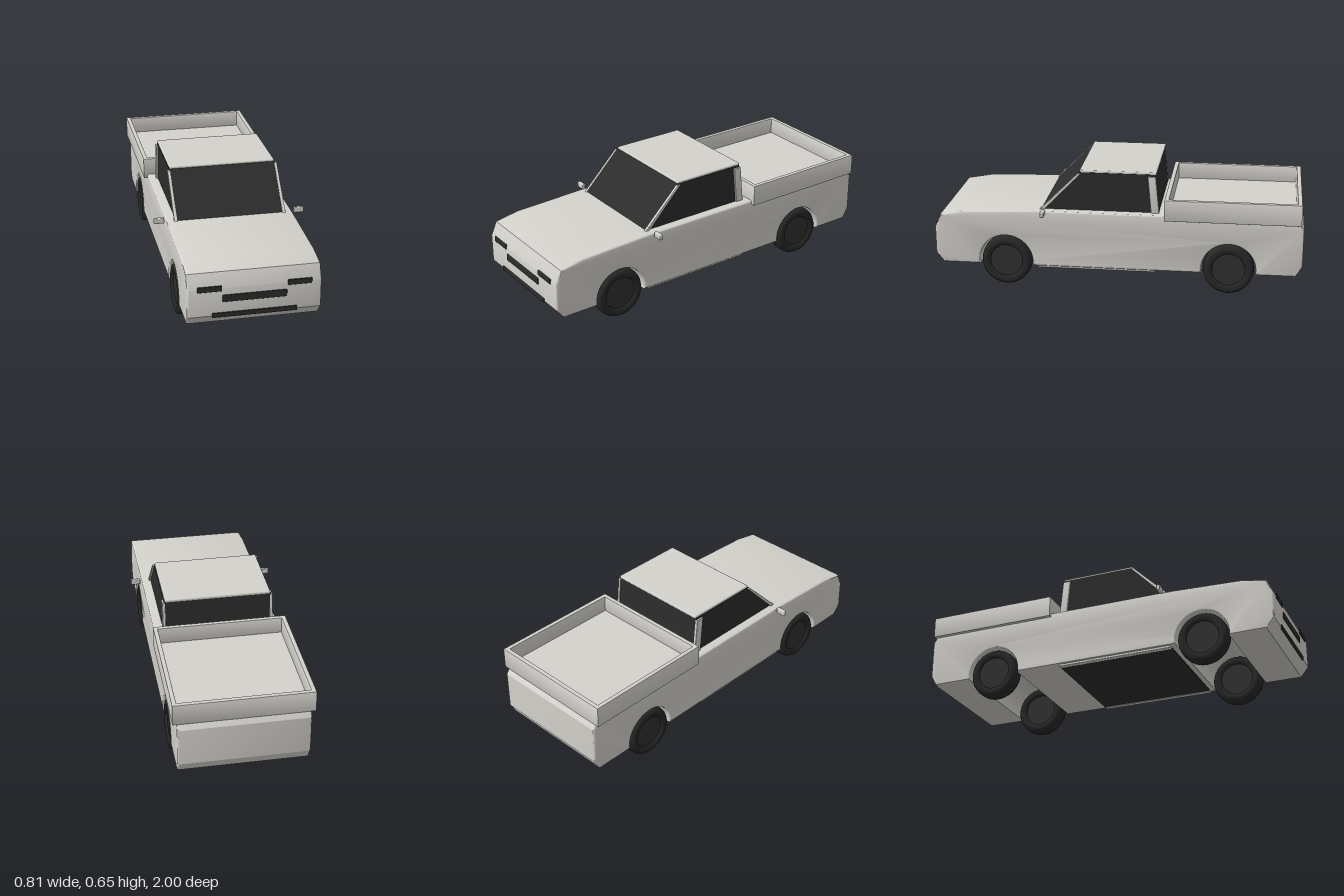
import * as THREE from 'three';
import { toCreasedNormals } from 'three/addons/utils/BufferGeometryUtils.js';
import { RoundedBoxGeometry } from 'three/addons/geometries/RoundedBoxGeometry.js';

const mat = (name, color) => {
  const m = new THREE.MeshStandardMaterial({ color });
  m.name = name;
  return m;
};

export function createModel() {
  const truck = new THREE.Group();
  truck.name = 'pickupTruck';
  const paint = mat('bodyPaint', 0xd4d2cc);
  const dark = mat('darkGlass', 0x2c2c2c);
  const rubber = mat('tyreRubber', 0x272727);
  const hubGrey = mat('hubGrey', 0x303030);

  const add = (name, geometry, material, x = 0, y = 0, z = 0, parent = truck) => {
    const mesh = new THREE.Mesh(geometry, material);
    mesh.name = name;
    mesh.position.set(x, y, z);
    parent.add(mesh);
    return mesh;
  };
  const polygon = pts => new THREE.Shape(pts.map(p => new THREE.Vector2(...p)));
  const block = (w, h, d, r = 0.005) => new RoundedBoxGeometry(w, h, d, 2, r);

  // Side profile (z, y) extruded across x, centred, with bevelled edges
  const acrossX = (shape, width, bevel) => {
    const g = new THREE.ExtrudeGeometry(shape, {
      depth: width - 2 * bevel, curveSegments: 24, bevelEnabled: bevel > 0,
      bevelThickness: bevel, bevelSize: bevel, bevelOffset: -bevel, bevelSegments: 3,
    });
    g.translate(0, 0, -(width - 2 * bevel) / 2).rotateY(-Math.PI / 2);
    return toCreasedNormals(g, 0.45);
  };

  const axleZ = 0.605, axleY = 0.139, wheelR = 0.137;

  // Lower body with wheel arches running right across
  const archR = 0.147, floorY = 0.118;
  const a = Math.asin((floorY - axleY) / archR);
  const body = new THREE.Shape();
  body.moveTo(-0.965, floorY);
  for (const z of [-axleZ, axleZ]) {
    body.lineTo(z - archR * Math.cos(a), floorY);
    body.absarc(z, axleY, archR, Math.PI - a, a, true);
  }
  [[0.952, floorY], [0.995, 0.172], [0.995, 0.32], [0.962, 0.395], [0.83, 0.419],
    [0.42, 0.434], [-0.965, 0.434], [-0.998, 0.385], [-0.998, 0.178]]
    .forEach(p => body.lineTo(...p));
  body.closePath();
  add('lowerBody', acrossX(body, 0.68, 0.012), paint);

  // Dark floor pan and sills between the axles
  add('floorPan', new THREE.BoxGeometry(0.6, 0.008, 0.64), dark, 0, 0.115, 0.11);
  for (const s of [-1, 1]) add('sill', block(0.03, 0.024, 0.64), paint, s * 0.318, 0.12, 0.11);

  // Glasshouse, roof and pillars
  add('cabGlass', acrossX(polygon([[0.42, 0.425], [0.205, 0.645], [-0.205, 0.645], [-0.225, 0.425]]),
    0.58, 0), dark);
  add('roof', block(0.574, 0.018, 0.415, 0.007), paint, 0, 0.648, -0.003);
  const frontPillar = acrossX(polygon([[0.425, 0.428], [0.212, 0.64], [0.195, 0.64], [0.398, 0.428]]), 0.016, 0.003);
  const rearPillar = acrossX(polygon([[-0.184, 0.428], [-0.165, 0.635], [-0.208, 0.635], [-0.228, 0.428]]), 0.016, 0.003);
  for (const s of [-1, 1]) {
    add('frontPillar', frontPillar, paint, s * 0.292);
    add('rearPillar', rearPillar, paint, s * 0.292);
    add('mirror', block(0.055, 0.03, 0.02), paint, s * 0.378, 0.434, 0.392);
  }

  // Cargo bed: a rectangular wall with an inner opening, plus its floor
  const rect = (w, d) => [[-w, -d], [w, -d], [w, d], [-w, d]];
  const wall = polygon(rect(0.36, 0.362));
  wall.holes.push(new THREE.Path(rect(0.336, 0.338).map(p => new THREE.Vector2(...p))));
  const bevel = 0.004;
  const wallGeo = new THREE.ExtrudeGeometry(wall, {
    depth: 0.117 - 2 * bevel, bevelThickness: bevel, bevelSize: bevel, bevelOffset: -bevel, bevelSegments: 2,
  });
  wallGeo.rotateX(-Math.PI / 2);
  add('bedWalls', toCreasedNormals(wallGeo, 0.6), paint, 0, 0.411 + bevel, -0.621);
  add('bedFloor', new THREE.BoxGeometry(0.69, 0.022, 0.69), paint, 0, 0.426, -0.621);

  // Front lamps, grille and lower intake
  const plate = (name, w, h, x, y) => add(name, block(w, h, 0.009, 0.004), dark, x, y, 0.9955);
  for (const s of [-1, 1]) plate('headlamp', 0.123, 0.03, s * 0.2275, 0.32);
  plate('grille', 0.326, 0.039, 0, 0.264);
  plate('lowerIntake', 0.43, 0.026, 0, 0.175);

  // Wheels: rounded tyre ring with a recessed hub
  const half = [[0.088, 0.03], [0.092, 0.042], [0.112, 0.046], [0.127, 0.041], [0.135, 0.028], [wheelR, 0.01]];
  const section = [...half.map(([r, h]) => [r, -h]), ...half.slice().reverse()];
  const tyreGeo = new THREE.LatheGeometry(section.map(p => new THREE.Vector2(...p)), 40);
  tyreGeo.rotateZ(-Math.PI / 2);
  const hubGeo = new THREE.CylinderGeometry(0.089, 0.089, 0.064, 40);
  hubGeo.rotateZ(-Math.PI / 2);
  for (const s of [-1, 1]) for (const z of [-axleZ, axleZ]) {
    const wheel = new THREE.Group();
    wheel.name = z > 0 ? 'frontWheel' : 'rearWheel';
    wheel.position.set(s * 0.294, axleY, z);
    add('tyre', tyreGeo, rubber, 0, 0, 0, wheel);
    add('hub', hubGeo, hubGrey, 0, 0, 0, wheel);
    truck.add(wheel);
  }
  return truck;
}
